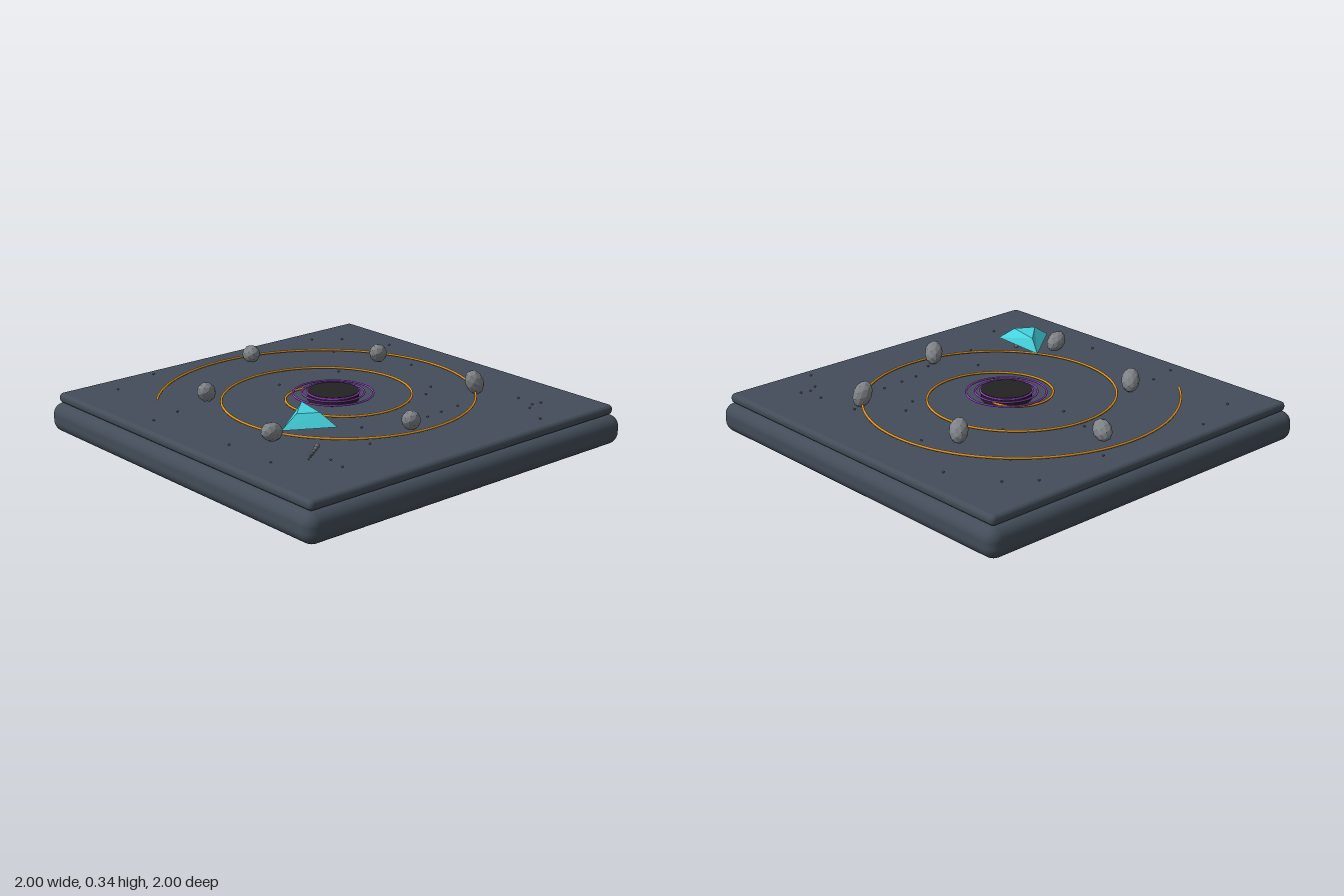
import * as THREE from 'three';
import { RoundedBoxGeometry } from 'three/addons/geometries/RoundedBoxGeometry.js';

const mat = (name, color) => {
  const m = new THREE.MeshStandardMaterial({ color });
  m.name = name;
  return m;
};

export function createModel() {
  const model = new THREE.Group();
  const slate = mat('slate', 0x434d59);
  const amber = mat('amber', 0xe0921a);
  const violet = mat('violet', 0x9640c4);
  const black = mat('black', 0x222222);
  const cyan = mat('cyan', 0x45d2de);
  const rock = mat('rock grey', 0x7f8387);
  rock.flatShading = cyan.flatShading = true;

  const add = (name, geometry, material, x = 0, y = 0, z = 0) => {
    const mesh = new THREE.Mesh(geometry, material);
    mesh.name = name;
    mesh.position.set(x, y, z);
    model.add(mesh);
    return mesh;
  };

  // Stepped board
  add('base', new RoundedBoxGeometry(2, 0.15, 2, 4, 0.06), slate, 0, 0.075, 0);
  add('boardTop', new RoundedBoxGeometry(1.93, 0.05, 1.93, 3, 0.022), slate, 0, 0.175, 0);

  // Archimedean spiral track, 2.4 turns
  const points = [];
  for (let i = 0; i <= 160; i++) {
    const a = (i / 160) * Math.PI * 4.8;
    const r = 0.106 + 0.05 * a;
    points.push(new THREE.Vector3(r * Math.cos(a), 0.214, -r * Math.sin(a)));
  }
  const spiral = new THREE.CatmullRomCurve3(points);
  add('spiralTrack', new THREE.TubeGeometry(spiral, 320, 0.006, 8), amber);

  // Central disc with thin rings around it
  add('centreDisc', new THREE.CylinderGeometry(0.126, 0.126, 0.045, 32), black, 0, 0.2225, 0);
  [[0.197, 0.23], [0.153, 0.234], [0.128, 0.239]].forEach(([r, y], i) => {
    add('ring' + (i + 1), new THREE.TorusGeometry(r, 0.005, 8, 64), violet, 0, y, 0).rotation.x = Math.PI / 2;
  });

  // Boulders: centre and direction of the long axis
  const boulders = [
    [0.05, 0.257, -0.705, 0.45, -0.25, -0.8],
    [-0.51, 0.257, -0.35, 0.55, -0.5, -0.5],
    [0.545, 0.262, -0.27, 0.5, -0.5, -0.5],
    [0.58, 0.258, 0.395, 0.4, -0.9, 0.05],
    [-0.05, 0.258, 0.605, 0.5, -0.5, -0.5],
    [-0.635, 0.257, 0.305, 0.85, -0.3, -0.35],
  ];
  const boulderGeometry = new THREE.IcosahedronGeometry(1, 1).scale(0.046, 0.068, 0.046);
  const up = new THREE.Vector3(0, 1, 0);
  boulders.forEach(([x, y, z, ...dir], i) => {
    add('boulder' + (i + 1), boulderGeometry, rock, x, y, z)
      .quaternion.setFromUnitVectors(up, new THREE.Vector3(...dir).normalize());
  });

  // Arrowhead craft: triangular frustum, corners nose, right wing, left wing
  const low = [[-0.387, 0.187], [-0.636, 0.374], [-0.412, 0.503]].map(([x, z]) => [x, 0.28, z]);
  const high = [[-0.412, 0.25], [-0.545, 0.372], [-0.452, 0.428]].map(([x, z]) => [x, 0.34, z]);
  const craft = new THREE.BufferGeometry();
  const tris = [...high, low[0], low[2], low[1]];
  for (let i = 0; i < 3; i++) {
    const j = (i + 1) % 3;
    tris.push(low[i], low[j], high[j], low[i], high[j], high[i]);
  }
  craft.setAttribute('position', new THREE.Float32BufferAttribute(tris.flat(), 3));
  craft.computeVertexNormals();
  add('craft', craft, cyan);

  // Trail of shrinking beads behind the craft
  for (let i = 0; i < 6; i++) {
    add('trailBead' + (i + 1), new THREE.IcosahedronGeometry(0.012 - i * 0.0014, 1), rock,
      -0.52 - i * 0.028, 0.212, 0.487 + i * 0.021);
  }

  // Small pebbles scattered over the board, as x, z pairs
  const pebbles = [
    [-0.72, -0.8], [-0.44, -0.89], [0.17, -0.83], [0.57, -0.83], [0.82, -0.48], [0.7, -0.73],
    [0.51, -0.58], [-0.86, -0.3], [-0.7, -0.33], [-0.07, -0.33], [-0.01, -0.53], [0.3, -0.3],
    [0.66, -0.14], [-0.8, 0.2], [0.48, 0.19], [0.38, 0.26], [0.65, 0.37], [-0.19, 0.42],
    [0.25, 0.5], [0.15, 0.51], [0.37, 0.49], [0.01, 0.58], [-0.8, 0.5], [-0.31, 0.61],
    [-0.58, 0.65], [-0.6, 0.75], [0.68, 0.6], [0.61, 0.74], [0.66, 0.71], [0.71, 0.72], [0.53, 0.88],
  ];
  const pebbleGeometry = new THREE.IcosahedronGeometry(0.006, 0);
  pebbles.forEach(([x, z], i) => add('pebble' + (i + 1), pebbleGeometry, rock, x, 0.206, z));

  return model;
}
